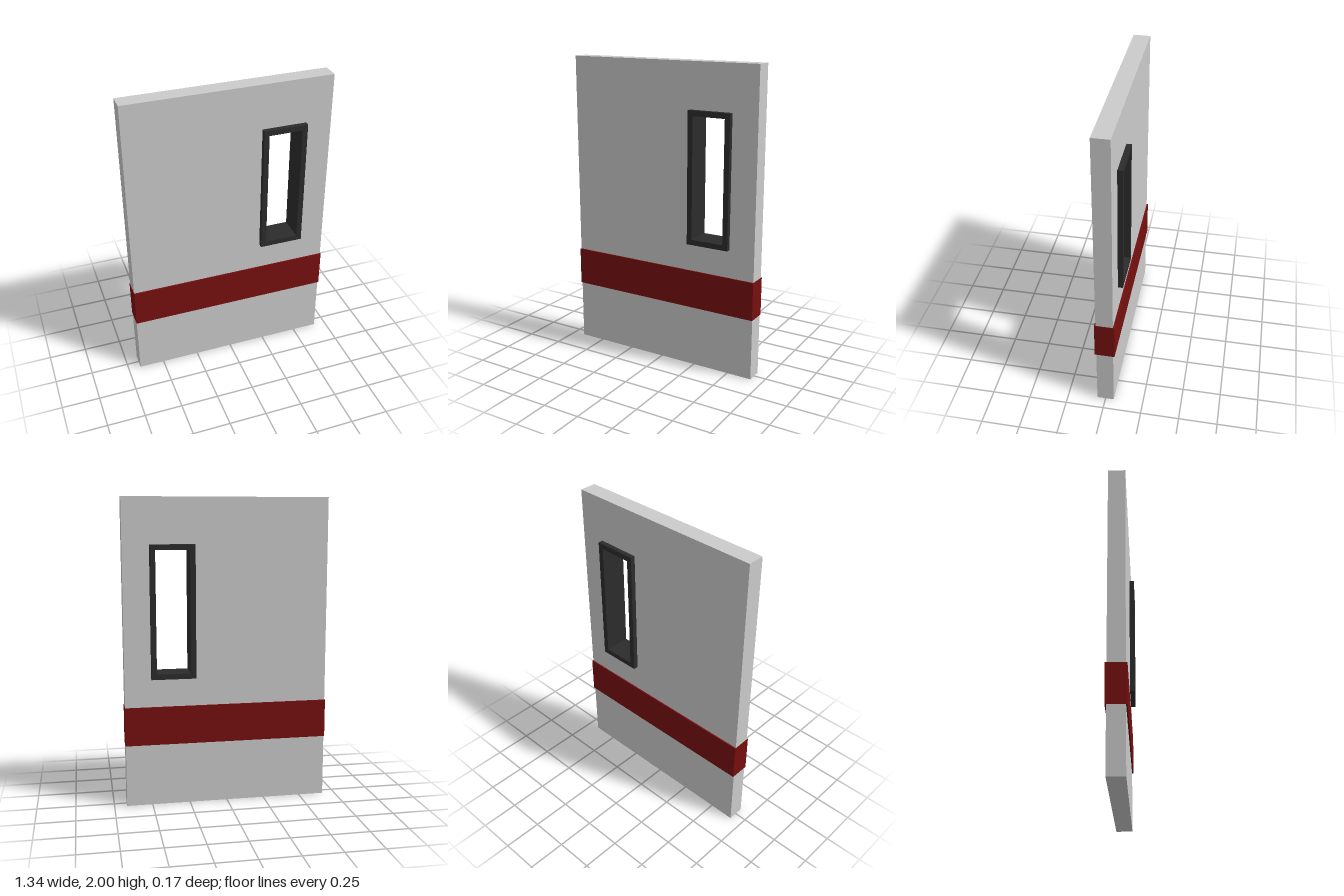
import * as THREE from 'three';

// Rectangular outline from its edges
function rect(Type, x0, x1, y0, y1) {
  const p = new Type();
  p.moveTo(x0, y0);
  p.lineTo(x1, y0);
  p.lineTo(x1, y1);
  p.lineTo(x0, y1);
  p.closePath();
  return p;
}

// Plate with a rectangular hole, centred on z = 0
function plate(name, outer, hole, depth, color) {
  const shape = rect(THREE.Shape, ...outer);
  shape.holes.push(rect(THREE.Path, ...hole));
  const geo = new THREE.ExtrudeGeometry(shape, { depth, bevelEnabled: false });
  geo.translate(0, 0, -depth / 2);
  const mesh = new THREE.Mesh(geo, new THREE.MeshStandardMaterial({ color }));
  mesh.name = name;
  return mesh;
}

export function createModel() {
  const group = new THREE.Group();
  group.name = 'door';

  const frameOuter = [0.207, 0.497, 0.845, 1.705];
  const frameInner = [0.242, 0.462, 0.88, 1.67];

  // Door slab, cut out where the window frame passes through
  group.add(plate('doorPanel', [-0.668, 0.668, 0, 2], frameOuter, 0.11, 0xcccccc));

  // Window frame, standing proud on both faces
  group.add(plate('windowFrame', frameOuter, frameInner, 0.174, 0x2c2c2c));

  // Coloured band wrapped around the lower part
  const band = new THREE.Mesh(
    new THREE.BoxGeometry(1.341, 0.252, 0.128),
    new THREE.MeshStandardMaterial({ color: 0x770f0f })
  );
  band.name = 'kickBand';
  band.position.y = 0.534;
  group.add(band);

  return group;
}
